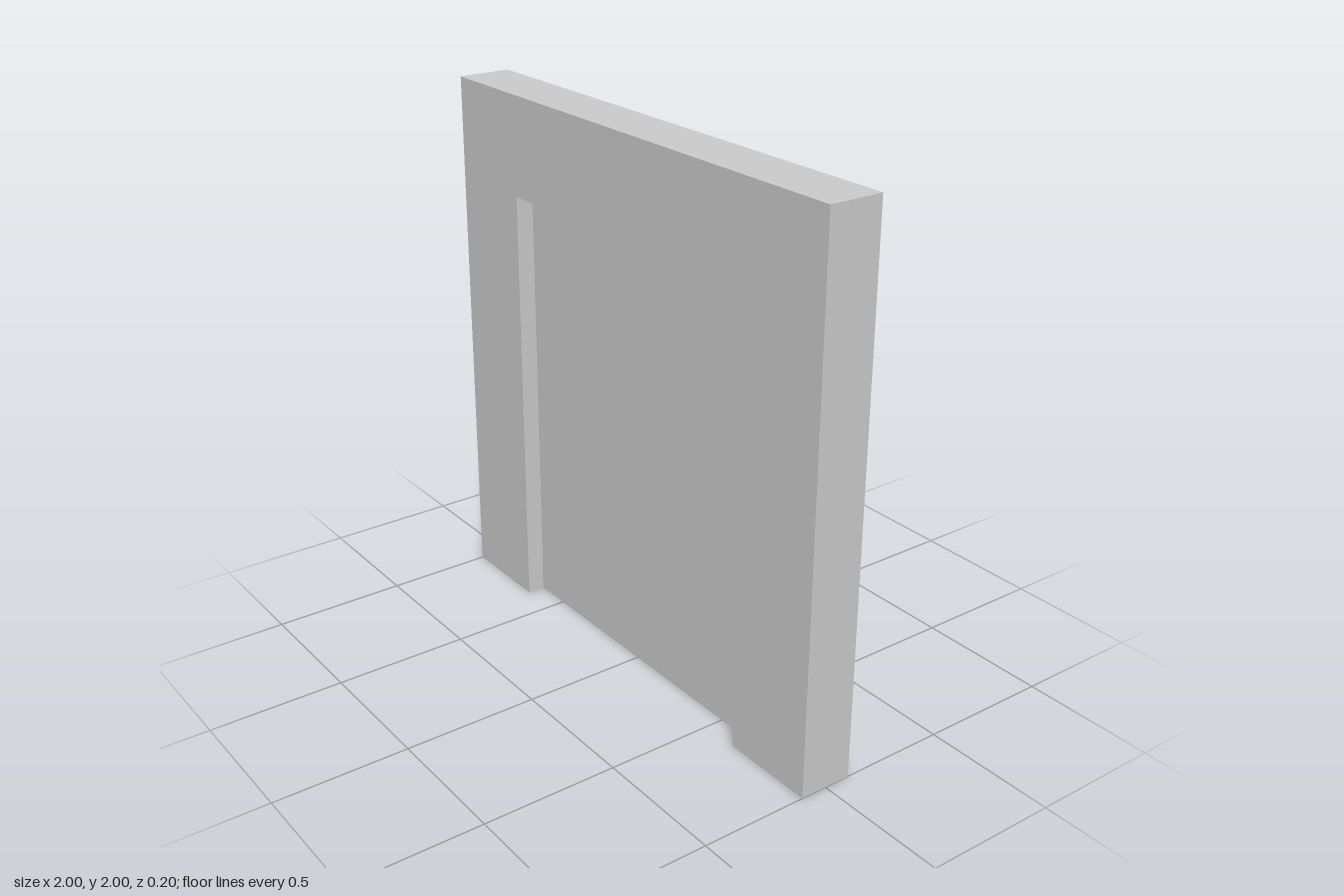
import * as THREE from 'three';

const DEPTH = 0.2;         // wall thickness
const PANEL = 0.067;       // infill thickness, recessed equally on both faces
const HALF_OPENING = 0.64;
const OPENING_TOP = 1.63;

export function createModel() {
  const group = new THREE.Group();
  const material = new THREE.MeshStandardMaterial({ color: 0xcccccc, flatShading: true });

  // Wall frame: square outline with a doorway notch open at the floor
  const outline = new THREE.Shape([
    [-1, 0], [-HALF_OPENING, 0], [-HALF_OPENING, OPENING_TOP],
    [HALF_OPENING, OPENING_TOP], [HALF_OPENING, 0], [1, 0], [1, 2], [-1, 2],
  ].map(([x, y]) => new THREE.Vector2(x, y)));
  const frameGeometry = new THREE.ExtrudeGeometry(outline, { depth: DEPTH, bevelEnabled: false });
  frameGeometry.translate(0, 0, -DEPTH / 2);
  const frame = new THREE.Mesh(frameGeometry, material);
  frame.name = 'wallFrame';
  group.add(frame);

  // Thin panel closing the doorway at mid-depth
  const panel = new THREE.Mesh(new THREE.BoxGeometry(HALF_OPENING * 2, OPENING_TOP, PANEL), material);
  panel.position.y = OPENING_TOP / 2;
  panel.name = 'doorPanel';
  group.add(panel);

  return group;
}
